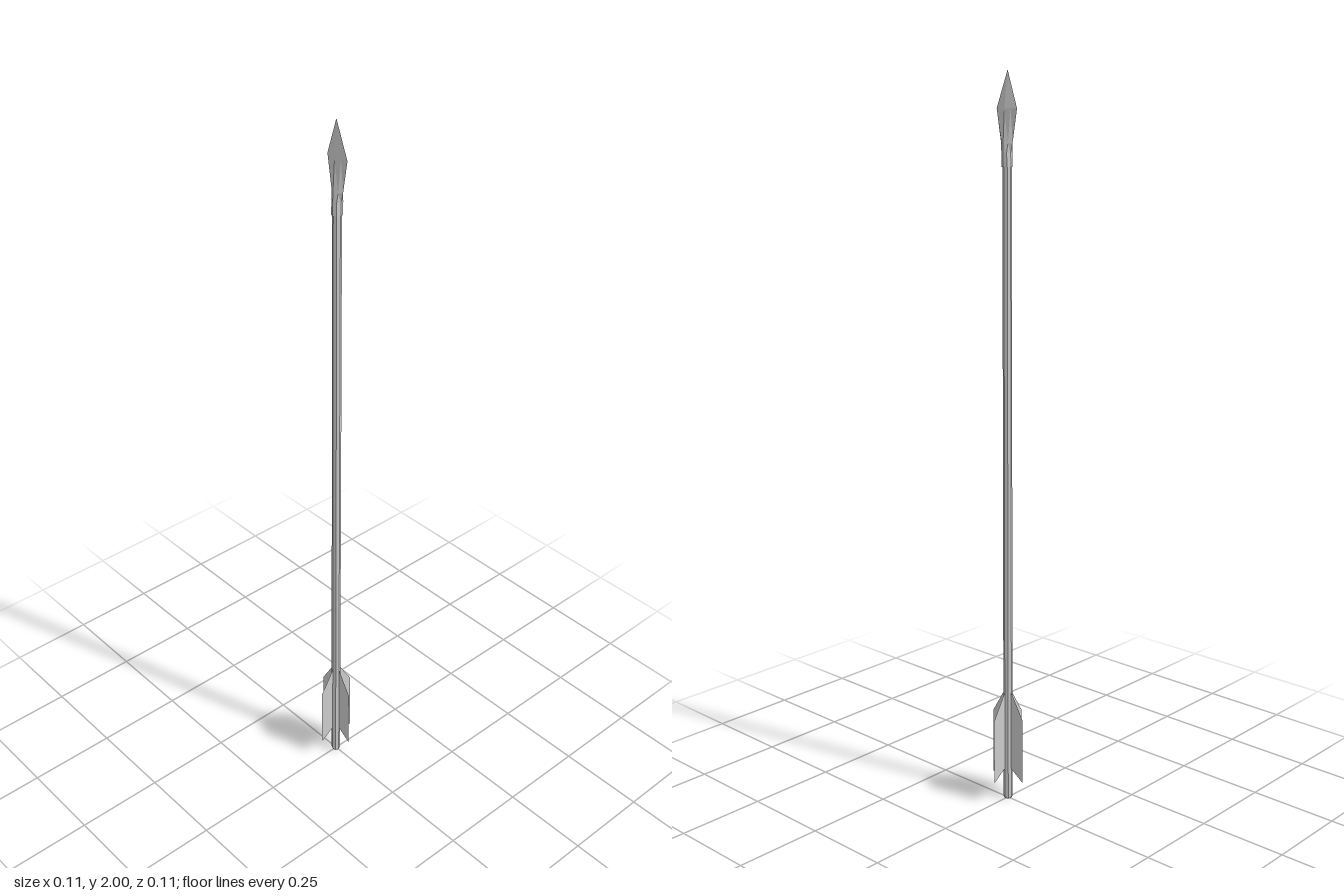
import * as THREE from 'three';

const material = new THREE.MeshStandardMaterial({ color: 0xcccccc, flatShading: true });
const thin = new THREE.MeshStandardMaterial({ color: 0xcccccc, flatShading: true, side: THREE.DoubleSide });
const SIDES = 8;

// Eight-sided loft; each row is [y, halfWidth, halfDepth, roundness, z].
// Roundness 0 gives a diamond section, 1 an octagon.
function loft(name, rows) {
  const geo = new THREE.LatheGeometry(rows.map(r => new THREE.Vector2(1, r[0])), SIDES);
  const pos = geo.attributes.position;
  for (let i = 0; i < pos.count; i++) {
    const [y, w, d, round, z] = rows[i % rows.length];
    const corner = Math.floor(i / rows.length);
    const a = corner / SIDES * Math.PI * 2;
    const k = corner % 2 ? THREE.MathUtils.lerp(Math.SQRT1_2, 1, round) : 1;
    pos.setXYZ(i, Math.sin(a) * w * k, y, Math.cos(a) * d * k + z);
  }
  geo.computeVertexNormals();
  const mesh = new THREE.Mesh(geo, material);
  mesh.name = name;
  return mesh;
}

export function createModel() {
  const arrow = new THREE.Group();
  arrow.name = 'arrow';

  // Shaft, leaning very slightly back, with a closed tail
  arrow.add(loft('shaft', [
    [0, 0, 0, 1, 0.001],
    [0, 0.011, 0.011, 1, 0.001],
    [0.006, 0.013, 0.013, 1, 0.001],
    [1.79, 0.012, 0.012, 1, -0.003],
  ]));

  // Leaf-shaped head that rounds off into a socket
  arrow.add(loft('arrowhead', [
    [1.76, 0.012, 0.012, 1, -0.003],
    [1.76, 0.014, 0.015, 1, -0.003],
    [1.795, 0.013, 0.015, 1, -0.004],
    [1.82, 0.02, 0.014, 0.3, -0.004],
    [1.905, 0.035, 0.009, 0, -0.004],
    [2, 0, 0, 0, -0.001],
  ]));

  // Four flat feathers around the tail
  const outline = [[0.008, 0.095], [0.056, 0.062], [0.056, 0.25], [0.008, 0.33]];
  const feather = new THREE.ShapeGeometry(new THREE.Shape(outline.map(p => new THREE.Vector2(...p))));
  const fletching = new THREE.Group();
  fletching.name = 'fletching';
  for (let i = 0; i < 4; i++) {
    const mesh = new THREE.Mesh(feather, thin);
    mesh.name = 'feather';
    mesh.rotation.y = i * Math.PI / 2;
    fletching.add(mesh);
  }
  arrow.add(fletching);
  return arrow;
}
